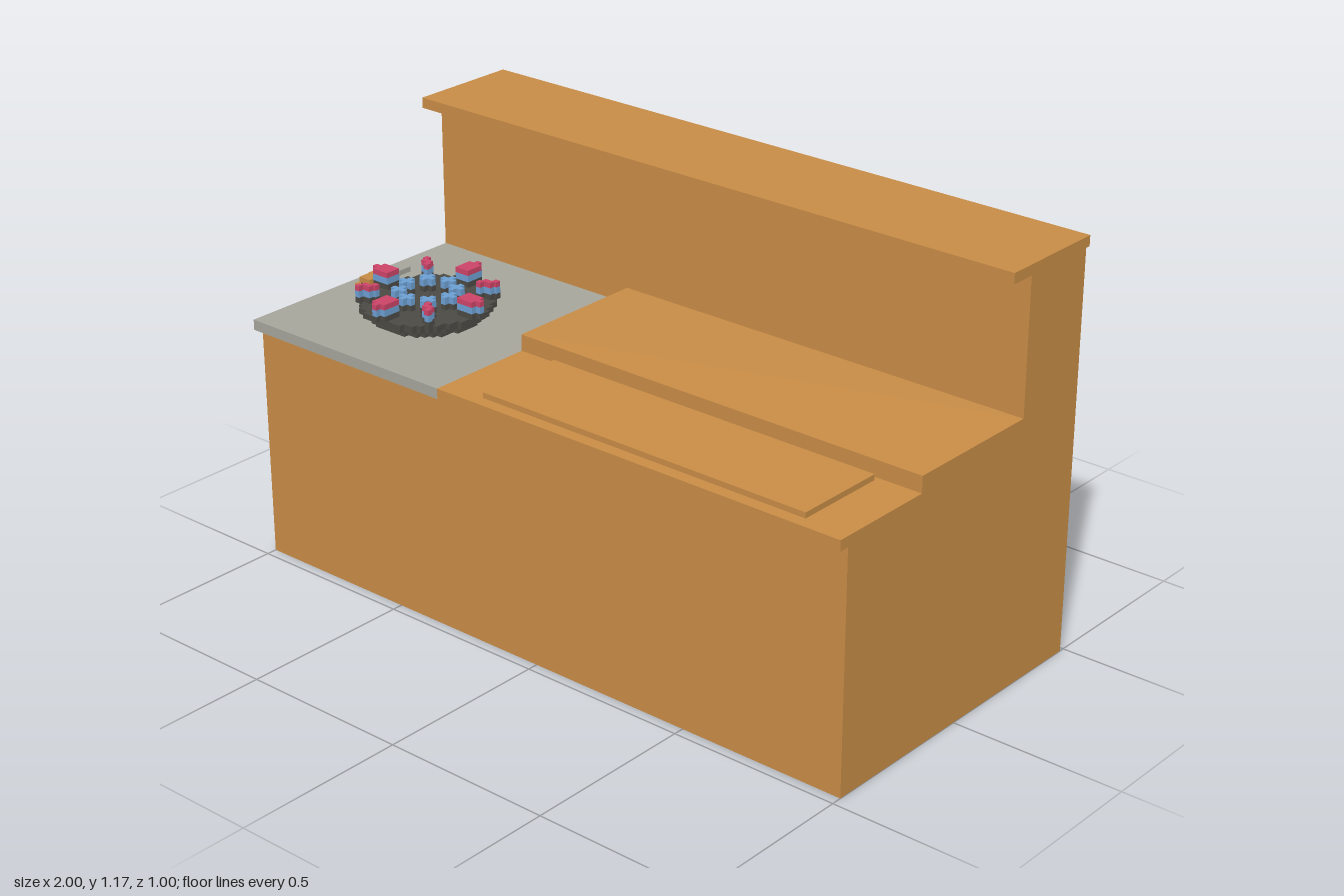
import * as THREE from 'three';

const mat = (name, color) => {
  const m = new THREE.MeshStandardMaterial({ color });
  m.name = name;
  return m;
};

export function createModel() {
  const wood = mat('wood', 0xc88c46);
  const stone = mat('stone', 0xa5a59c);
  const iron = mat('iron', 0x4b4a44);
  const blue = mat('blue', 0x6c9fd2);
  const red = mat('red', 0xcc4468);

  const model = new THREE.Group();
  model.name = 'counter';

  const add = (parent, name, geometry, material) => {
    const mesh = new THREE.Mesh(geometry, material);
    mesh.name = name;
    parent.add(mesh);
    return mesh;
  };
  // Box given by its limits on each axis
  const box = (parent, name, material, [x0, x1], [y0, y1], [z0, z1]) => {
    const g = new THREE.BoxGeometry(x1 - x0, y1 - y0, z1 - z0);
    g.translate((x0 + x1) / 2, (y0 + y1) / 2, (z0 + z1) / 2);
    return add(parent, name, g, material);
  };
  // Side profile of [z, y] points, extruded along x
  const profile = (name, material, points, x0, x1) => {
    const shape = new THREE.Shape(points.map(([z, y]) => new THREE.Vector2(-z, y)));
    const g = new THREE.ExtrudeGeometry(shape, { depth: x1 - x0, bevelEnabled: false });
    g.rotateY(Math.PI / 2).translate(x0, 0, 0);
    return add(model, name, g, material);
  };

  // Cabinet with its tall back wall, and the cap shelf
  profile('cabinet', wood, [[0.47, 0], [0.47, 0.685], [-0.245, 0.685],
    [-0.245, 1.145], [-0.485, 1.145], [-0.485, 0]], -1, 1);
  box(model, 'capShelf', wood, [-1, 1], [1.145, 1.175], [-0.5, -0.17]);

  // Worktop: stone part on one side, stepped wooden part on the other
  box(model, 'stoneTop', stone, [-1, -0.305], [0.685, 0.715], [-0.245, 0.5]);
  profile('woodTop', wood, [[0.5, 0.685], [0.5, 0.715], [0.18, 0.715],
    [0.18, 0.762], [-0.245, 0.762], [-0.245, 0.685]], -0.305, 1);
  box(model, 'raisedPanel', wood, [-0.175, 0.87], [0.715, 0.731], [0.195, 0.465]);

  // Burner, built on a grid of small steps around its own centre
  const v = 0.0155;
  const burner = new THREE.Group();
  burner.name = 'burner';
  burner.position.set(-0.66, 0, 0.17);
  model.add(burner);

  // Disc with a stepped outline
  const disc = (r, y0, y1) => {
    const n = Math.floor(r / v - 0.5);
    const side = [];
    for (let j = -n; j <= n; j++) {
      const w = (Math.floor(Math.sqrt(r * r - j * j * v * v) / v - 0.5) + 0.5) * v;
      side.push([w, (j - 0.5) * v], [w, (j + 0.5) * v]);
    }
    const outline = [...side, ...side.map(([x, z]) => [-x, z]).reverse()];
    const shape = new THREE.Shape(outline.map(([x, z]) => new THREE.Vector2(x, z)));
    const g = new THREE.ExtrudeGeometry(shape, { depth: y1 - y0, bevelEnabled: false });
    g.rotateX(-Math.PI / 2).translate(0, y0, 0);
    add(burner, 'burnerDisc', g, iron);
  };
  disc(0.153, 0.715, 0.73);
  disc(0.169, 0.73, 0.745);
  disc(0.187, 0.745, 0.761);

  // Column of colour bands at one spot
  const stack = (name, x, z, w, d, bands) => {
    let y = 0.761;
    for (const [material, top] of bands) {
      box(burner, name, material, [x - w / 2, x + w / 2], [y, top], [z - d / 2, z + d / 2]);
      y = top;
    }
  };
  const tall = [[iron, 0.777], [blue, 0.796], [red, 0.811]];
  const low = [[iron, 0.777], [blue, 0.797]];

  for (let i = 0; i < 4; i++) {
    const a = i * Math.PI / 2;
    const c = Math.round(Math.cos(a)), s = Math.round(Math.sin(a));
    const along = (len, wide) => (c ? [len, wide] : [wide, len]);

    // Outer prongs on the axes, each with a small tip
    stack('prong', c * 0.16, s * 0.16, ...along(0.055, 3 * v), tall);
    stack('prongTip', c * 0.195, s * 0.195, ...along(v, v), tall);

    // Stepped prongs on the diagonals
    const dx = c - s, dz = c + s;
    for (const k of [0.1, 0.1155, 0.131]) {
      stack('diagonalProng', dx * k, dz * k, k === 0.1155 ? 2 * v : v, v, tall);
    }
    box(burner, 'diagonalRib', iron,
      [dx * 0.085 - v, dx * 0.085 + v], [0.761, 0.769], [dz * 0.085 - v, dz * 0.085 + v]);

    // Inner ring of cross shaped flames
    for (const [x, z] of [[c * 0.08, s * 0.08], [dx * 0.055, dz * 0.055]]) {
      stack('flame', x, z, 3 * v, v, low);
      for (const e of [-1, 1]) stack('flame', x, z + e * v, v, v, low);
    }
  }
  box(burner, 'hub', iron, [-v / 2, v / 2], [0.761, 0.768], [-v / 2, v / 2]);

  // Feed pipe: iron neck, wooden valve, bent pipe and its wall plate
  const feed = new THREE.Group();
  feed.name = 'feedPipe';
  model.add(feed);
  box(feed, 'neck', iron, [-0.92, -0.8], [0.715, 0.746], [0.14, 0.171]);
  box(feed, 'valve', wood, [-0.92, -0.88], [0.746, 0.762], [0.135, 0.176]);
  box(feed, 'valveHandle', wood, [-0.88, -0.85], [0.746, 0.756], [0.147, 0.164]);
  box(feed, 'pipeEnd', wood, [-0.953, -0.92], [0.715, 0.73], [0.148, 0.163]);
  box(feed, 'pipe', wood, [-0.953, -0.938], [0.715, 0.73], [0.02, 0.148]);
  box(feed, 'pipeRise', wood, [-0.953, -0.938], [0.73, 0.745], [0.095, 0.11]);
  box(feed, 'plate', stone, [-0.968, -0.923], [0.715, 0.73], [-0.025, 0.02]);

  return model;
}
